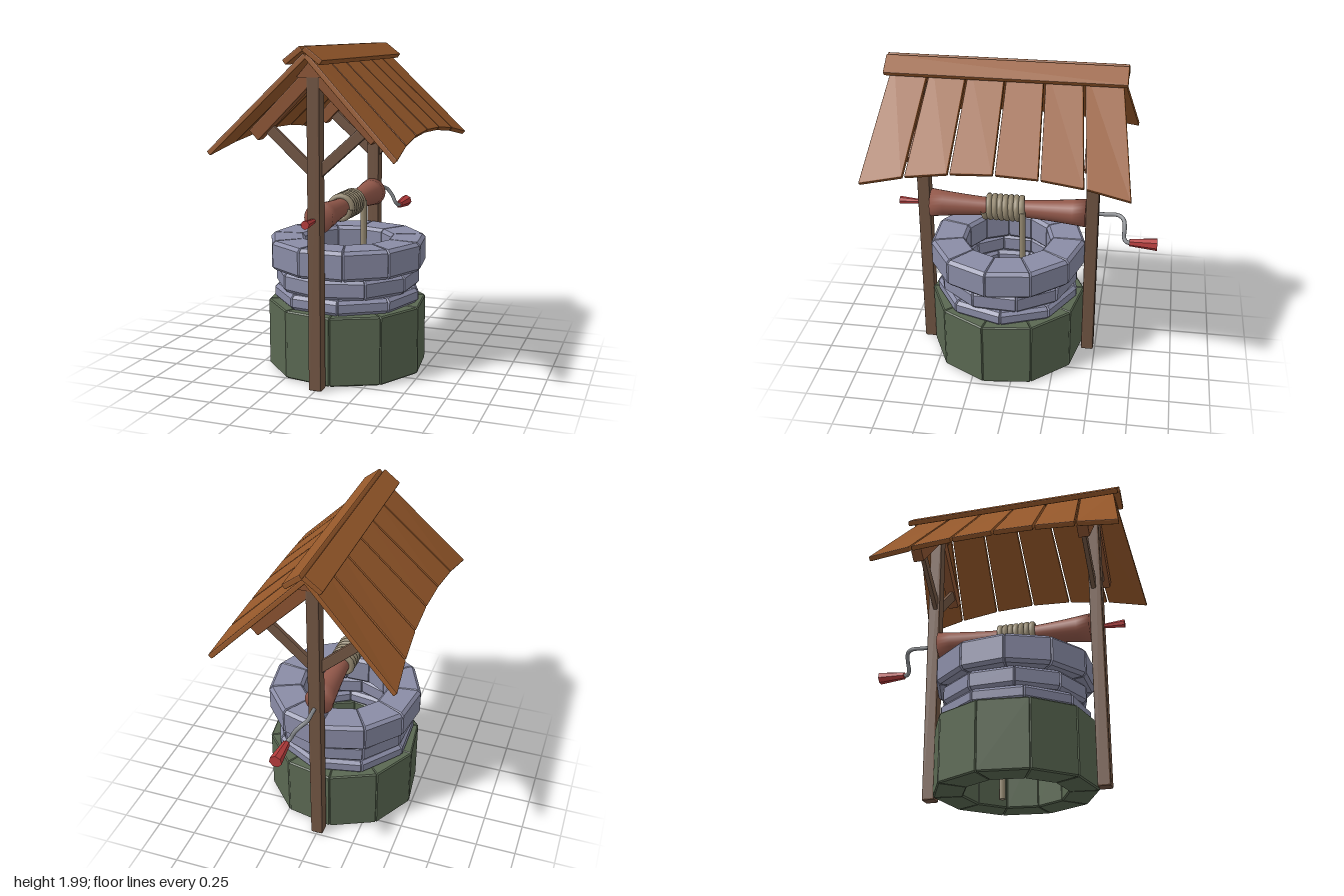
import * as THREE from 'three';
import { RoundedBoxGeometry } from 'three/addons/geometries/RoundedBoxGeometry.js';

const CZ = 0.08; // the well's axis along z
const mat = (color, flatShading = false) => new THREE.MeshStandardMaterial({ color, flatShading });
const M = {
  mossStone: mat(0x5a6852, true), stone: mat(0x8a8ca6, true), post: mat(0x705442, true),
  roof: mat(0x96582a, true), beam: mat(0x8a5230, true), drum: mat(0x92584a),
  rope: mat(0x968a72), metal: mat(0x85888c), red: mat(0xb53c3c, true),
};

function add(parent, name, geometry, material, x = 0, y = 0, z = 0) {
  const mesh = new THREE.Mesh(geometry, material);
  mesh.name = name;
  mesh.position.set(x, y, z);
  parent.add(mesh);
  return mesh;
}

// Joins equal loops of points into a closed solid with flat faces
function loft(loops) {
  const pos = [], n = loops[0].length;
  const tri = (...pts) => pts.forEach((p) => pos.push(p.x, p.y, p.z));
  for (let k = 0; k < loops.length - 1; k++) {
    const A = loops[k], B = loops[k + 1];
    for (let i = 0; i < n; i++) {
      const j = (i + 1) % n;
      tri(A[i], B[i], B[j]);
      tri(A[i], B[j], A[j]);
    }
  }
  const first = loops[0], last = loops[loops.length - 1];
  for (let i = 1; i < n - 1; i++) {
    tri(first[0], first[i], first[i + 1]);
    tri(last[0], last[i + 1], last[i]);
  }
  const g = new THREE.BufferGeometry();
  g.setAttribute('position', new THREE.Float32BufferAttribute(pos, 3));
  g.computeVertexNormals();
  return g;
}

// One chamfered wedge-shaped stone between angles a0 and a1
function stoneGeometry(r0, r1, y0, y1, a0, a1, c, groove) {
  const section = (a, inset) => {
    const i0 = r0 + inset, i1 = r1 - inset, b = y0 + inset, t = y1 - inset;
    return [[i0 + c, b], [i1 - c, b], [i1, b + c], [i1, t - c],
      [i1 - c, t], [i0 + c, t], [i0, t - c], [i0, b + c]]
      .map(([r, y]) => new THREE.Vector3(r * Math.sin(a), y, r * Math.cos(a)));
  };
  const da = groove / r1;
  return loft([section(a0, groove), section(a0 + da, 0), section(a1 - da, 0), section(a1, groove)]);
}

function stoneRing(name, count, phase, r0, r1, y0, y1, c, groove, material) {
  const ring = new THREE.Group();
  ring.name = name;
  ring.position.z = CZ;
  const step = (Math.PI * 2) / count, start = THREE.MathUtils.degToRad(phase);
  for (let i = 0; i < count; i++) {
    const a = start + i * step;
    add(ring, name + 'Stone', stoneGeometry(r0, r1, y0, y1, a, a + step, c, groove), material);
  }
  return ring;
}

// Square timber running between two points in the xy plane
function timber(parent, name, x0, y0, x1, y1, width, depth, z, material) {
  const len = Math.hypot(x1 - x0, y1 - y0);
  const m = add(parent, name, new RoundedBoxGeometry(len, width, depth, 1, 0.006), material,
    (x0 + x1) / 2, (y0 + y1) / 2, z);
  m.rotation.z = Math.atan2(y1 - y0, x1 - x0);
}

// Roof plank: a box bent so that the roof flares and droops towards both gables
function plankGeometry(t0, t1, side) {
  const th = 0.032;
  const g = new RoundedBoxGeometry(0.7, th, 0.22, 1, 0.006);
  const p = g.attributes.position;
  for (let i = 0; i < p.count; i++) {
    const s = p.getX(i) / 0.7 + 0.5;
    const t = THREE.MathUtils.lerp(t0, t1, p.getZ(i) / 0.22 + 0.5);
    const v = (p.getY(i) - th / 2) * Math.SQRT1_2;
    const x = 0.012 + s * (0.495 + 0.05 * t * t) + v;
    const y = 1.955 - s * (0.46 + 0.085 * t * t) + v;
    p.setXYZ(i, side * x, y, CZ + t * (0.675 + 0.1 * s));
  }
  // mirrored planks need their faces turned round
  if (side < 0) {
    for (let i = 0; i < p.count; i += 3) {
      const a = new THREE.Vector3().fromBufferAttribute(p, i);
      const b = new THREE.Vector3().fromBufferAttribute(p, i + 1);
      p.setXYZ(i, b.x, b.y, b.z);
      p.setXYZ(i + 1, a.x, a.y, a.z);
    }
  }
  g.computeVertexNormals();
  return g;
}

export function createModel() {
  const model = new THREE.Group();
  model.name = 'well';

  // Stone shaft
  model.add(
    stoneRing('baseRing', 10, 7, 0.31, 0.492, 0.005, 0.425, 0.008, 0.006, M.mossStone),
    stoneRing('lowerRing', 9, 12, 0.3, 0.455, 0.425, 0.515, 0.02, 0.007, M.stone),
    stoneRing('middleRing', 10, 33, 0.3, 0.447, 0.515, 0.635, 0.02, 0.007, M.stone),
    stoneRing('rimRing', 11, 16.4, 0.27, 0.49, 0.64, 0.82, 0.02, 0.007, M.stone),
  );

  // Posts with rafters, braces and gable blocks
  const gable = new THREE.Shape([
    new THREE.Vector2(-0.095, 1.82), new THREE.Vector2(0.095, 1.82), new THREE.Vector2(0, 1.925)]);
  for (const end of [1, -1]) {
    const frame = new THREE.Group();
    frame.name = end > 0 ? 'frontFrame' : 'backFrame';
    frame.position.z = CZ + end * 0.53;
    model.add(frame);
    add(frame, 'post', new RoundedBoxGeometry(0.08, 1.86, 0.08, 1, 0.01), M.post, 0, 0.93, 0);
    add(frame, 'gableBlock', new THREE.ExtrudeGeometry(gable, { depth: 0.09, bevelEnabled: false }),
      M.beam, 0, 0, -0.045);
    for (const side of [1, -1]) {
      timber(frame, 'rafter', side * 0.03, 1.82, side * 0.366, 1.485, 0.08, 0.07, 0, M.beam);
      timber(frame, 'brace', side * 0.01, 1.28, side * 0.3, 1.54, 0.065, 0.03, -end * 0.01, M.post);
    }
  }

  // Roof planks and ridge caps
  const roof = new THREE.Group();
  roof.name = 'roof';
  model.add(roof);
  for (const side of [1, -1]) {
    for (let i = 0; i < 6; i++) {
      const t0 = -1 + i / 3, gap = 0.008;
      add(roof, 'roofPlank', plankGeometry(t0 + (i ? gap : 0), t0 + 1 / 3 - (i < 5 ? gap : 0), side), M.roof);
    }
    timber(roof, 'ridgeCap', side * 0.006, 1.982, side * 0.108, 1.904, 0.034, 1.425, 0.083, M.roof);
  }

  // Winding drum, waisted in the middle
  const windlass = new THREE.Group();
  windlass.name = 'windlass';
  windlass.position.y = 1.015;
  model.add(windlass);
  const profile = [new THREE.Vector2(0, -0.49)];
  for (let i = 0; i <= 12; i++) {
    const u = i / 6 - 1;
    profile.push(new THREE.Vector2(0.052 + 0.037 * Math.abs(u) ** 1.6, u * 0.49));
  }
  profile.push(new THREE.Vector2(0, 0.49));
  add(windlass, 'drum', new THREE.LatheGeometry(profile, 24), M.drum, 0, 0, CZ).rotation.x = Math.PI / 2;

  // Rope wound round the drum, then hanging into the shaft
  const turns = 7, coil = [];
  for (let i = 0; i <= turns * 12; i++) {
    const a = -(i / 12) * Math.PI * 2;
    coil.push(new THREE.Vector3(0.068 * Math.cos(a), 0.068 * Math.sin(a), 0.225 - 0.24 * (i / (turns * 12))));
  }
  add(windlass, 'ropeCoil', new THREE.TubeGeometry(new THREE.CatmullRomCurve3(coil), turns * 20, 0.019, 8), M.rope);
  add(model, 'hangingRope', new THREE.CylinderGeometry(0.02, 0.02, 1.025, 10), M.rope, 0.07, 0.5125, -0.02);

  // Bent crank and grips
  const bend = [[0, 0, -0.4], [0, 0, -0.52], [0, 0, -0.61], [0.025, -0.015, -0.645],
    [0.06, -0.06, -0.655], [0.085, -0.11, -0.655], [0.1, -0.13, -0.675], [0.1, -0.13, -0.72]];
  const path = new THREE.CatmullRomCurve3(bend.map((p) => new THREE.Vector3(...p)));
  add(windlass, 'crank', new THREE.TubeGeometry(path, 40, 0.013, 8), M.metal);
  const grip = new THREE.CylinderGeometry(0.04, 0.023, 0.17, 7).rotateX(-Math.PI / 2);
  add(windlass, 'crankGrip', grip, M.red, 0.1, -0.13, -0.775);
  const knob = new THREE.CylinderGeometry(0.026, 0.013, 0.14, 7).rotateX(Math.PI / 2);
  add(windlass, 'axleKnob', knob, M.red, 0, 0, 0.705);

  return model;
}
